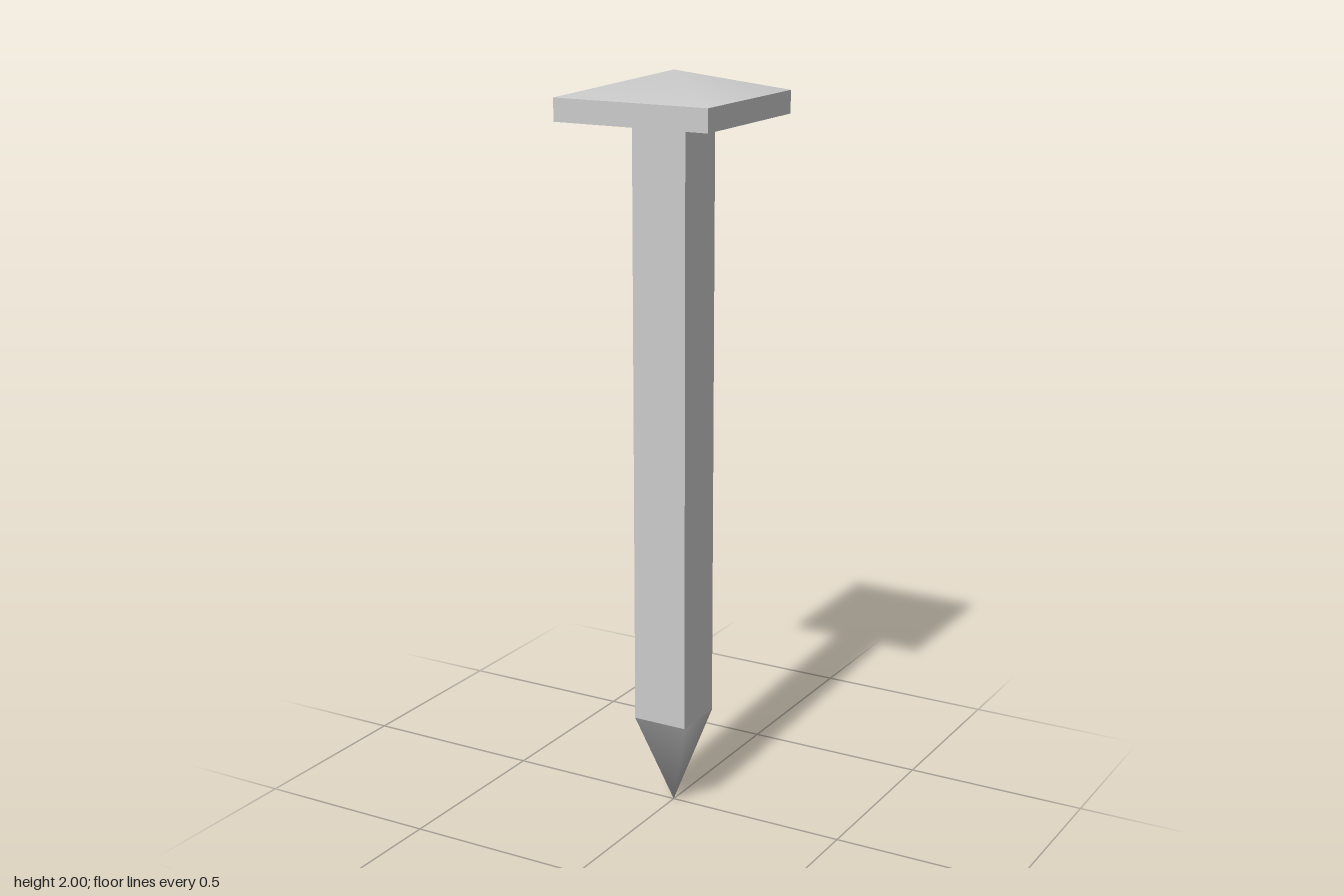
import * as THREE from 'three';
import { mergeVertices } from 'three/addons/utils/BufferGeometryUtils.js';

const material = new THREE.MeshStandardMaterial({ color: 0xcccccc });

function addMesh(group, name, geometry, y) {
  const mesh = new THREE.Mesh(geometry, material);
  mesh.name = name;
  mesh.position.y = y;
  group.add(mesh);
}

// Square block from y0 to y1 with the given half width
function addBlock(group, name, half, y0, y1) {
  addMesh(group, name, new THREE.BoxGeometry(half * 2, y1 - y0, half * 2), (y0 + y1) / 2);
}

// Four-sided pyramid with softly blended sides; the apex may lie below the base
function addPyramid(group, name, half, baseY, apexY) {
  const cone = new THREE.ConeGeometry(half * Math.SQRT2, Math.abs(apexY - baseY), 4, 1, true);
  cone.rotateY(Math.PI / 4);
  if (apexY < baseY) cone.rotateX(Math.PI);
  cone.deleteAttribute('normal');
  cone.deleteAttribute('uv');
  const geometry = mergeVertices(cone);
  geometry.computeVertexNormals();
  addMesh(group, name, geometry, (baseY + apexY) / 2);
}

export function createModel() {
  const nail = new THREE.Group();
  nail.name = 'nail';

  // Head: square plate with a shallow pointed top
  addBlock(nail, 'headPlate', 0.219, 1.88, 1.94);
  addPyramid(nail, 'headTop', 0.219, 1.94, 2);

  // Square shaft and its sharp point
  addBlock(nail, 'shaft', 0.077, 0.255, 1.88);
  addPyramid(nail, 'tip', 0.077, 0.255, 0);

  return nail;
}
